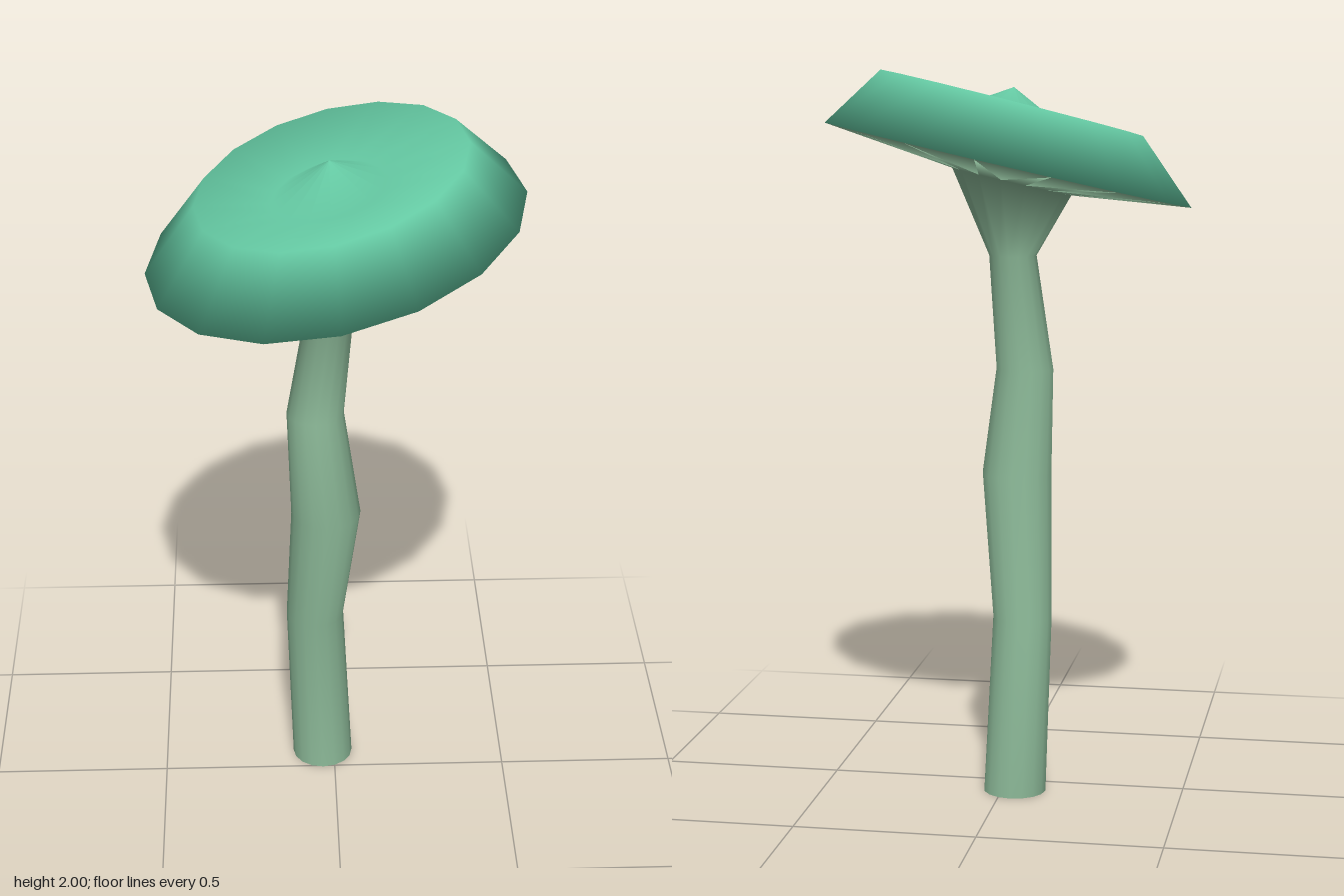
import * as THREE from 'three';

const SIDES = 16;
const SLOPE_X = 0.22, SLOPE_Z = -0.09;

// Smooth skin through rings [x, y, z, radius, tilt]; tilt leans a ring with the cap
function loft(rings) {
  const pos = [], idx = [];
  for (const [x, y, z, r, tilt = 0] of rings) {
    for (let i = 0; i < SIDES; i++) {
      const a = (i / SIDES) * Math.PI * 2;
      const dx = Math.cos(a) * r, dz = Math.sin(a) * r;
      pos.push(x + dx, y + tilt * (SLOPE_X * dx + SLOPE_Z * dz), z + dz);
    }
  }
  for (let k = 0; k < rings.length - 1; k++) {
    for (let i = 0; i < SIDES; i++) {
      const j = (i + 1) % SIDES;
      const a = k * SIDES + i, b = k * SIDES + j;
      const c = a + SIDES, d = b + SIDES;
      idx.push(a, c, b, b, c, d);
    }
  }
  const g = new THREE.BufferGeometry();
  g.setAttribute('position', new THREE.Float32BufferAttribute(pos, 3));
  g.setIndex(idx);
  g.computeVertexNormals();
  return g;
}

export function createModel() {
  const group = new THREE.Group();
  const capGreen = new THREE.MeshStandardMaterial({ color: 0x64c8a2, side: THREE.DoubleSide });
  capGreen.name = 'capGreen';
  const stemGreen = new THREE.MeshStandardMaterial({ color: 0x8cb998, side: THREE.DoubleSide });
  stemGreen.name = 'stemGreen';

  const add = (name, rings, material) => {
    const mesh = new THREE.Mesh(loft(rings), material);
    mesh.name = name;
    group.add(mesh);
  };

  const rim = [0, 1.745, 0, 0.503, 1];

  // Crooked stem, open at the foot, flaring into the gills and closed inside the cap
  add('stemAndGills', [
    [-0.034, 0, -0.082, 0.087],
    [-0.055, 0.5, -0.082, 0.082],
    [-0.025, 0.89, 0.003, 0.097],
    [-0.053, 1.19, -0.033, 0.079],
    [-0.015, 1.5, -0.008, 0.066],
    [-0.01, 1.7, 0, 0.165, 1],
    rim,
    [0, 1.8, 0, 0],
  ], stemGreen);

  // Cap: hidden underside, sloping side, shallow dish and central peak
  add('cap', [
    [-0.01, 1.76, 0, 0.16, 1],
    rim,
    [-0.01, 1.912, 0, 0.36, 1.08],
    [-0.015, 1.87, 0.01, 0.15, 1],
    [-0.015, 1.955, 0.01, 0],
  ], capGreen);

  return group;
}
